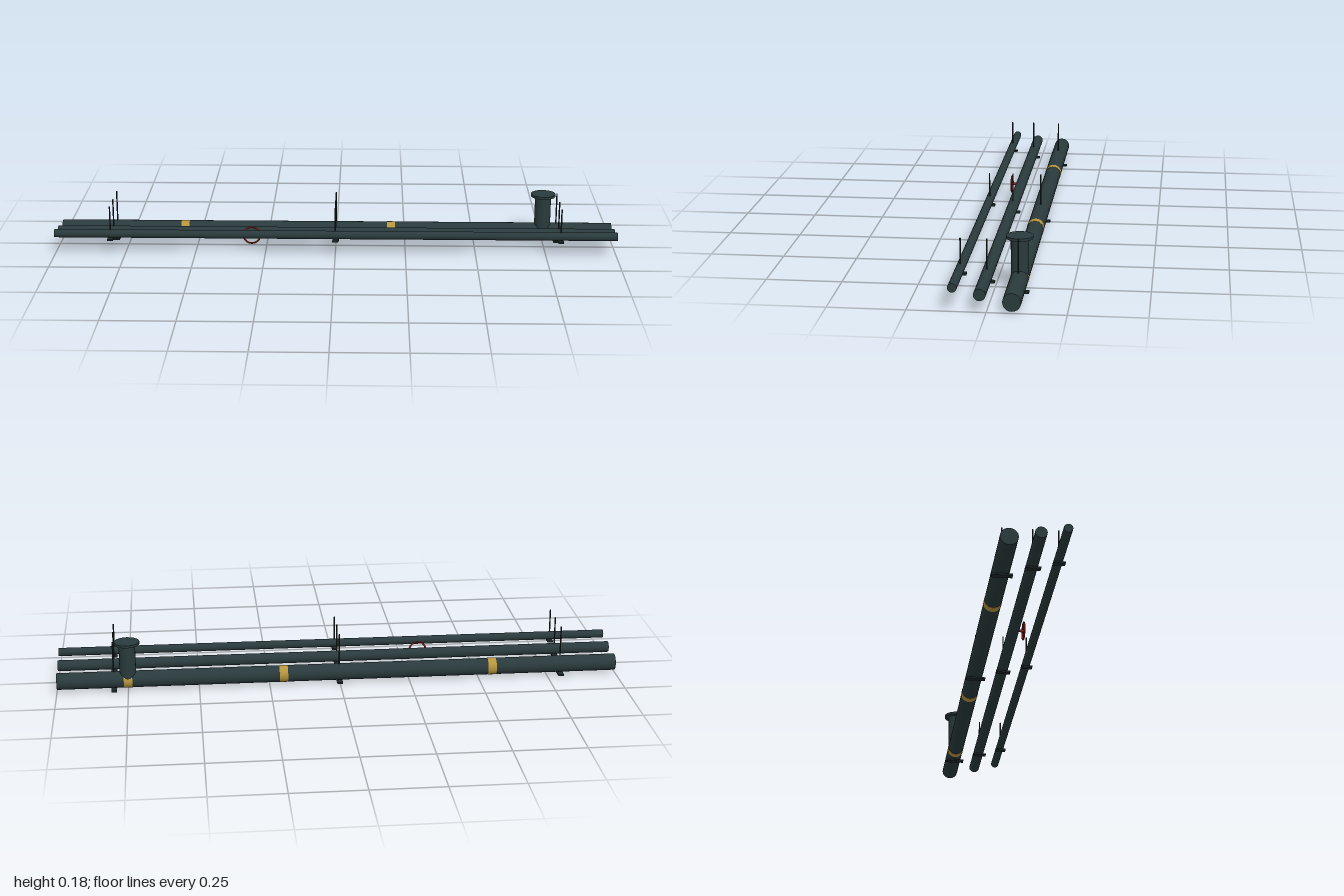
import * as THREE from 'three';

const mat = (name, color) => Object.assign(new THREE.MeshStandardMaterial({ color }), { name });

export function createModel() {
  const group = new THREE.Group();
  const pipeMat = mat('dark pipe', 0x2a3a3c);
  const steelMat = mat('hanger steel', 0x1f2a2c);
  const bandMat = mat('brass yellow', 0xb8963e);
  const redMat = mat('valve red', 0x8a2420);

  const add = (name, geometry, material, x, y, z) => {
    const mesh = new THREE.Mesh(geometry, material);
    mesh.name = name;
    mesh.position.set(x, y, z);
    group.add(mesh);
    return mesh;
  };
  // Cylinder lying along x
  const along = (r, length) => new THREE.CylinderGeometry(r, r, length, 20).rotateZ(Math.PI / 2);

  const pipes = [
    { name: 'large', r: 0.0295, y: 0.035, z: -0.079, plateY: 0.003, plate: 0.07 },
    { name: 'medium', r: 0.0195, y: 0.056, z: 0.021, plateY: 0.034, plate: 0.051 },
    { name: 'small', r: 0.0148, y: 0.076, z: 0.106, plateY: 0.058, plate: 0.04 },
  ];
  const top = 0.176;

  // Pipes, each carried by three hanger plates on thin rods
  for (const p of pipes) {
    add(p.name + 'Pipe', along(p.r, 2), pipeMat, 0, p.y, p.z);
    for (const x of [-0.8, 0, 0.8]) {
      add(p.name + 'HangerPlate', new THREE.BoxGeometry(0.02, 0.006, p.plate), steelMat, x, p.plateY, p.z);
      add(p.name + 'HangerRod', new THREE.CylinderGeometry(0.0025, 0.0025, top - p.y, 8), steelMat,
        x, (top + p.y) / 2, p.z);
    }
  }

  // Marker bands on the large pipe
  const [large, medium] = pipes;
  for (const x of [-0.55, 0.2, 0.75]) {
    add('markerBand', along(large.r + 0.0007, 0.03), bandMat, x, large.y, large.z);
  }

  // Riser with its end flange
  add('riser', new THREE.CylinderGeometry(0.029, 0.029, 0.133, 20), pipeMat, 0.75, 0.1015, large.z);
  add('riserFlange', new THREE.CylinderGeometry(0.0445, 0.0445, 0.009, 20), pipeMat, 0.75, 0.1715, large.z);

  // Valve stem and handwheel on the medium pipe
  add('valveStem', new THREE.CylinderGeometry(0.005, 0.005, 0.036, 10).rotateX(Math.PI / 2), redMat,
    -0.3, medium.y, 0.038);
  add('valveWheel', new THREE.TorusGeometry(0.03, 0.0032, 8, 24), redMat, -0.3, medium.y, 0.056);

  return group;
}
